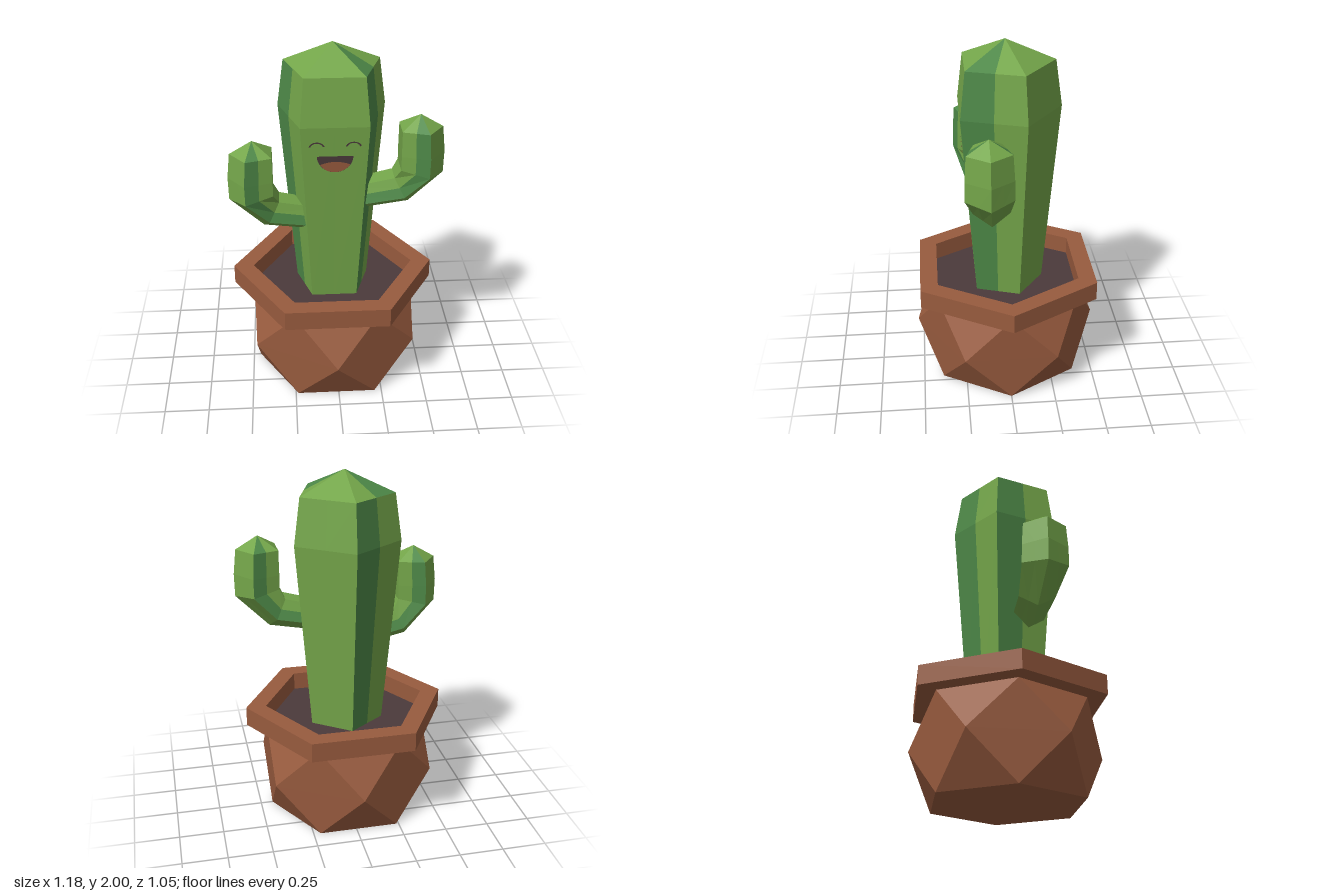
import * as THREE from 'three';

const CX = -0.013; // pot and trunk axis

const mat = (name, color) => {
  const m = new THREE.MeshStandardMaterial({ color });
  m.name = name;
  return m;
};

const ringPoints = (n, r, y, start) => Array.from({ length: n }, (_, i) => {
  const a = start + (i * 2 * Math.PI) / n;
  return new THREE.Vector3(CX + r * Math.cos(a), y, r * Math.sin(a));
});

// Faceted geometry from lists of triangles, one list per material
function facets(lists, flip = false) {
  const geo = new THREE.BufferGeometry();
  const points = [];
  lists.forEach((tris, i) => {
    geo.addGroup(points.length, tris.length * 3, i);
    tris.forEach(([a, b, c]) => points.push(a, ...(flip ? [c, b] : [b, c])));
  });
  geo.setFromPoints(points);
  geo.computeVertexNormals();
  return geo;
}

// Five-sided ribbed stem; every side is split in two so half-sides can be dark
function stem(rings, tip, darkSide, darkCap, flip) {
  const lists = [[], []];
  const split = rings.map((ring) => ring.flatMap((p, i) =>
    [p, p.clone().lerp(ring[(i + 1) % ring.length], 0.5)]));
  const n = split[0].length;
  for (let r = 0; r < split.length - 1; r++) {
    for (let i = 0; i < n; i++) {
      const j = (i + 1) % n, A = split[r], B = split[r + 1];
      lists[darkSide.includes(i) ? 1 : 0].push([A[i], B[i], A[j]], [A[j], B[i], B[j]]);
    }
  }
  const top = split[split.length - 1];
  for (let i = 0; i < n; i++) {
    lists[darkCap.includes(i) ? 1 : 0].push([top[i], tip, top[(i + 1) % n]]);
  }
  return facets(lists, flip);
}

// Bent arm: each ring is [x, y, radius, downward tilt]
function armGeometry(side, dy, z0, z1) {
  const spec = [[0.08, 1.145, 0.09, 1.37], [0.353, 1.203, 0.105, 1.1],
    [0.452, 1.318, 0.135, 0.2], [0.453, 1.42, 0.134, 0], [0.447, 1.56, 0.125, 0]];
  const rings = spec.map(([x, y, r, tilt], k) => Array.from({ length: 5 }, (_, i) => {
    const a = (i * 2 * Math.PI) / 5;
    const out = r * Math.cos(a);
    return new THREE.Vector3(side * (x + out * Math.cos(tilt)),
      y + dy - out * Math.sin(tilt),
      (k === 0 ? z0 : k === 1 ? (z0 + z1) / 2 : z1) + r * Math.sin(a));
  }));
  const tip = new THREE.Vector3(side * 0.45, 1.632 + dy, z1);
  return stem(rings, tip, [2, 7], [2, 7], side < 0);
}

// Lay a flat shape onto the sloping front side of the trunk
function onFront(geo, lift) {
  const p = geo.attributes.position;
  for (let i = 0; i < p.count; i++) {
    p.setZ(i, 0.251 - (1.62 - p.getY(i)) * 0.07 + lift);
  }
  geo.computeVertexNormals();
  return geo;
}

export function createModel() {
  const group = new THREE.Group();
  const green = mat('light green', 0x74a64a);
  const darkGreen = mat('blue green', 0x4d8847);
  const clay = mat('clay', 0x985b3e);
  const dark = mat('dark soil', 0x4b3a3b);
  const add = (name, geo, material) => {
    const mesh = new THREE.Mesh(geo, material);
    mesh.name = name;
    group.add(mesh);
    return mesh;
  };

  // Pot: three hexagons, the middle one turned by half a side
  const low = ringPoints(6, 0.445, 0, 0);
  const mid = ringPoints(6, 0.525, 0.27, Math.PI / 6);
  const high = ringPoints(6, 0.463, 0.54, 0);
  const base = new THREE.Vector3(CX, 0, 0);
  const tris = [];
  for (let i = 0; i < 6; i++) {
    const j = (i + 1) % 6;
    tris.push([low[i], mid[i], low[j]], [low[j], mid[i], mid[j]],
      [mid[i], high[j], mid[j]], [mid[i], high[i], high[j]],
      [base, low[i], low[j]]);
  }
  add('pot', facets([tris]), clay);

  // Rim: hexagonal ring
  const hexagon = (r) => ringPoints(6, r, 0, 0).map((p) => new THREE.Vector2(p.x, p.z));
  const rimShape = new THREE.Shape(hexagon(0.577));
  rimShape.holes.push(new THREE.Path(hexagon(0.463)));
  const rim = new THREE.ExtrudeGeometry(rimShape, { depth: 0.11, bevelEnabled: false });
  rim.rotateX(-Math.PI / 2).translate(0, 0.54, 0);
  add('rim', rim, clay);

  const soil = new THREE.CircleGeometry(0.463, 6);
  soil.rotateX(-Math.PI / 2).translate(CX, 0.546, 0);
  add('soil', soil, dark);

  // Trunk and arms
  const trunkRings = [[0.216, 0.54], [0.31, 1.62], [0.273, 1.88]]
    .map(([r, y]) => ringPoints(5, r, y, -Math.PI / 2));
  const greens = [green, darkGreen];
  add('trunk', stem(trunkRings, new THREE.Vector3(CX, 2, 0), [3, 7, 9], [3, 8]), greens);
  add('leftArm', armGeometry(1, 0, 0.085, 0.12), greens);
  add('rightArm', armGeometry(-1, -0.12, 0.09, 0.145), greens);

  // Smiling face
  const mouth = new THREE.CircleGeometry(1, 20, Math.PI, Math.PI);
  mouth.scale(0.096, 0.096, 1).translate(CX, 1.456, 0);
  add('mouth', onFront(mouth, 0.003), dark);

  const tongueShape = new THREE.Shape();
  tongueShape.absarc(0, 0, 0.094, Math.PI + 0.55, 2 * Math.PI - 0.55, false);
  tongueShape.quadraticCurveTo(0, -0.015, -0.094 * Math.cos(0.55), -0.094 * Math.sin(0.55));
  const tongue = new THREE.ShapeGeometry(tongueShape, 16);
  tongue.translate(CX, 1.456, 0);
  add('tongue', onFront(tongue, 0.006), clay);

  for (const side of [-1, 1]) {
    const eye = new THREE.RingGeometry(0.033, 0.042, 14, 1, 0.15, Math.PI - 0.3);
    eye.scale(1, 0.75, 1).translate(CX + side * 0.097, 1.508, 0);
    add(side > 0 ? 'leftEye' : 'rightEye', onFront(eye, 0.003), dark);
  }
  return group;
}
